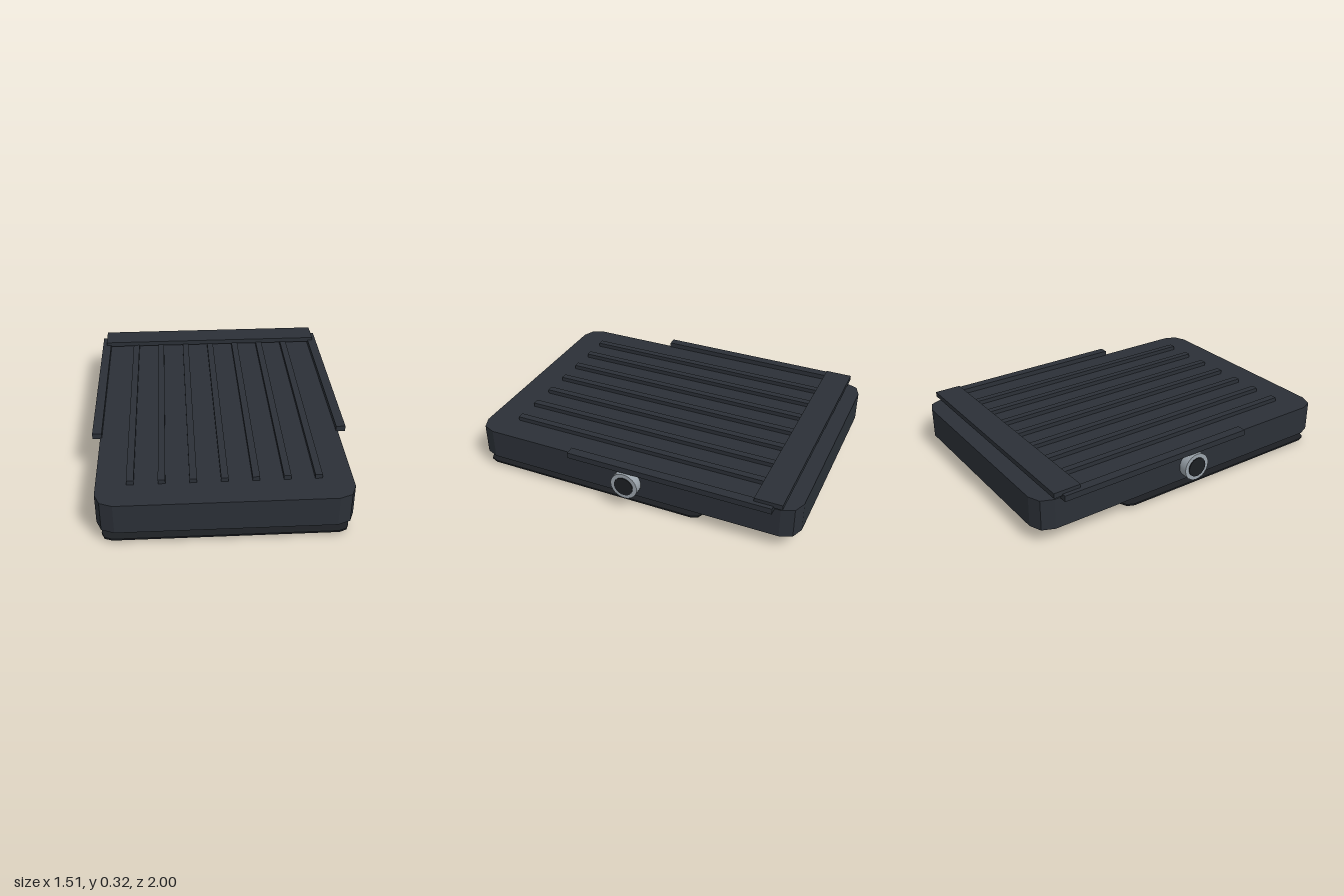
import * as THREE from 'three';

const mat = (color, flatShading = false) => {
  const m = new THREE.MeshStandardMaterial({ color });
  m.flatShading = flatShading;
  return m;
};
const dark = mat(0x2b3037, true);
const black = mat(0x1c1f23, true);
const metal = mat(0x9aa3ab);
const steel = mat(0xa2a6a8, true);

export function createModel() {
  const model = new THREE.Group();

  const add = (name, geometry, material, x = 0, y = 0, z = 0) => {
    const mesh = new THREE.Mesh(geometry, material);
    mesh.name = name;
    mesh.position.set(x, y, z);
    model.add(mesh);
    return mesh;
  };

  // Box given by its limits on each axis
  const box = (name, material, x0, x1, y0, y1, z0, z1) =>
    add(name, new THREE.BoxGeometry(x1 - x0, y1 - y0, z1 - z0), material,
      (x0 + x1) / 2, (y0 + y1) / 2, (z0 + z1) / 2);

  // Flat slab with faceted round corners, centred on x
  const slab = (name, material, halfX, y0, y1, z0, z1, radius) => {
    const halfZ = (z1 - z0) / 2;
    const points = [];
    const corners = [[1, 1], [-1, 1], [-1, -1], [1, -1]];
    corners.forEach(([sx, sz], i) => {
      for (let k = 0; k <= 2; k++) {
        const a = (i + k / 2) * Math.PI / 2;
        points.push(new THREE.Vector2(
          sx * (halfX - radius) + radius * Math.cos(a),
          sz * (halfZ - radius) + radius * Math.sin(a)));
      }
    });
    const geometry = new THREE.ExtrudeGeometry(new THREE.Shape(points),
      { depth: y1 - y0, bevelEnabled: false });
    geometry.rotateX(-Math.PI / 2);
    return add(name, geometry, material, 0, y0, (z0 + z1) / 2);
  };

  // Main body
  slab('body', dark, 0.7, 0.09, 0.27, -1, 1, 0.1);

  // Lengthwise ribs on top
  for (let i = -3; i <= 3; i++) {
    const x = i * 0.171;
    box('rib', dark, x - 0.02, x + 0.02, 0.265, 0.295, -0.82, 0.82);
  }

  // Cross bar at the rear
  box('rearBar', dark, -0.72, 0.72, 0.29, 0.32, -0.915, -0.755);

  // Side rails and round side knobs
  for (const s of [-1, 1]) {
    const side = s > 0 ? 'left' : 'right';
    const rail = new THREE.BoxGeometry(0.055, 0.035, 1.225);
    add(side + 'Rail', rail, dark, s * 0.7175, 0.2825, -0.2525);

    const knob = new THREE.CylinderGeometry(0.082, 0.082, 0.06, 24);
    add(side + 'Knob', knob, metal, s * 0.722, 0.178, 0).rotation.z = Math.PI / 2;
    const cap = new THREE.CylinderGeometry(0.058, 0.058, 0.02, 24);
    add(side + 'KnobCap', cap, black, s * 0.747, 0.178, 0).rotation.z = Math.PI / 2;
  }

  // Layered plates under the front
  slab('spacerPlate', steel, 0.595, 0.077, 0.091, -0.35, 0.895, 0.03);
  slab('upperPlate', dark, 0.625, 0.043, 0.049, -0.385, 0.93, 0.05);
  slab('middlePlate', dark, 0.57, 0.034, 0.038, -0.33, 0.88, 0.05);
  slab('basePlate', black, 0.675, 0.021, 0.031, -0.435, 0.98, 0.06);
  slab('basePanel', steel, 0.6, 0.019, 0.022, -0.355, 0.895, 0.02);

  // Feet at the corners of the base plate
  for (const x of [-0.603, 0.603]) {
    for (const z of [-0.358, 0.903]) {
      add('foot', new THREE.CylinderGeometry(0.018, 0.018, 0.012, 16), metal, x, 0.006, z);
    }
  }

  // Rear hatch and its tabs
  slab('rearHatch', dark, 0.59, 0.044, 0.048, -0.855, -0.48, 0.05);
  slab('rearHatchCover', black, 0.57, 0.033, 0.039, -0.835, -0.5, 0.05);
  for (const z of [-0.81, -0.48]) {
    box('hatchTab', mat(0x4a4f55, true), -0.57, -0.47, 0.04, 0.046, z - 0.04, z + 0.04);
  }

  return model;
}
